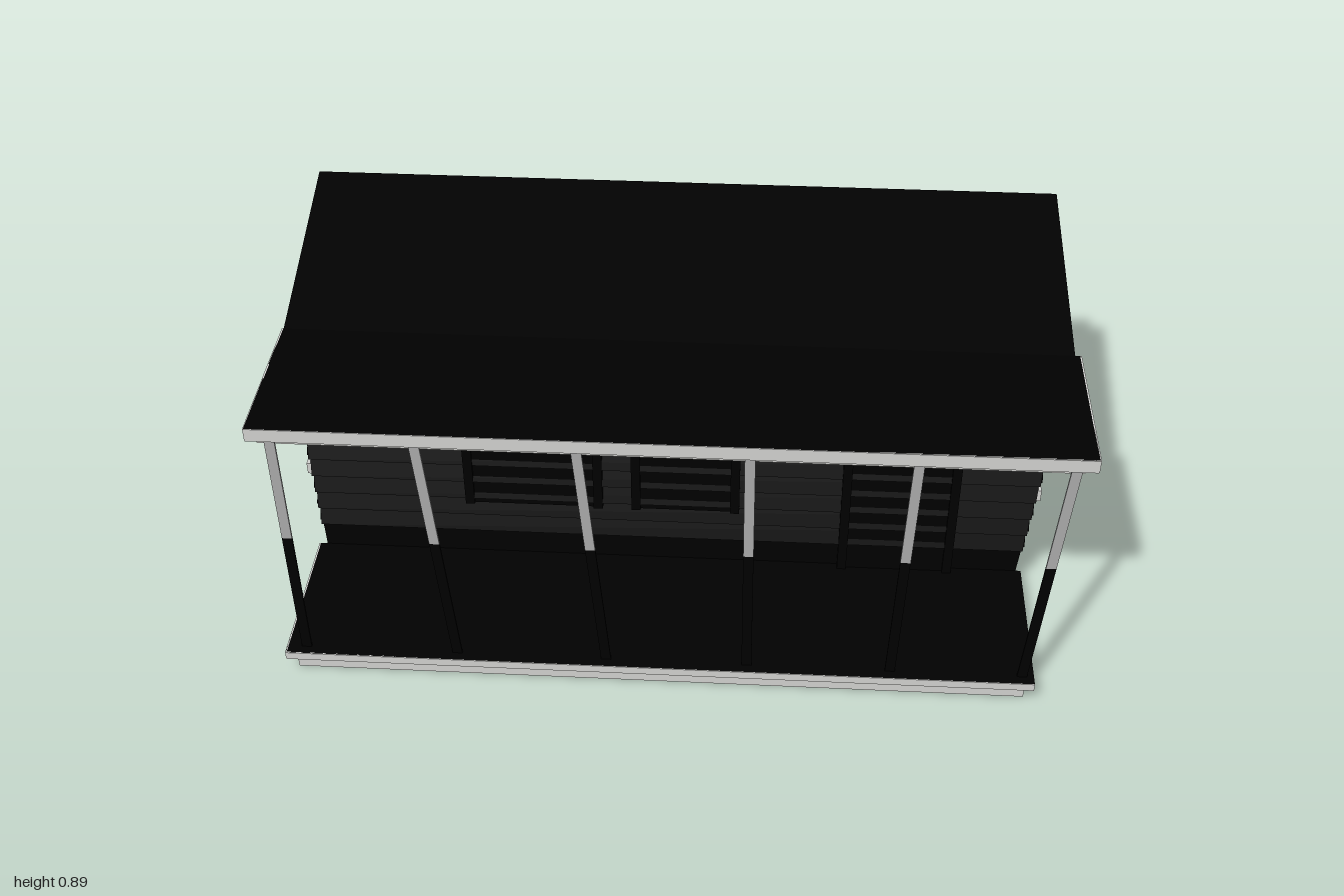
import * as THREE from 'three';

const mat = (name, color) => {
  const m = new THREE.MeshStandardMaterial({ color });
  m.name = name;
  return m;
};

// Side wall position: the walls lean outwards up to the eaves
const wallX = (side, y, z) => {
  const t = Math.min(y / 0.785, 1);
  return side > 0 ? 0.91 + 0.072 * t : -0.945 - t * (0.03 + 0.025 * (0.14 - z) / 0.7);
};

// Move every vertex by a rule and restore flat normals
function reshape(geo, rule) {
  const p = geo.attributes.position, v = new THREE.Vector3();
  for (let i = 0; i < p.count; i++) {
    v.fromBufferAttribute(p, i);
    rule(v);
    p.setXYZ(i, v.x, v.y, v.z);
  }
  geo.computeVertexNormals();
  return geo;
}

const shapeOf = pts => new THREE.Shape(pts.map(([a, b]) => new THREE.Vector2(a, b)));

// A [z, y] profile run along x, its ends set by left(y, z) and right(y, z)
function prism(profile, left, right) {
  const geo = new THREE.ExtrudeGeometry(shapeOf(profile.map(([z, y]) => [-z, y])), { depth: 1, bevelEnabled: false });
  geo.rotateY(Math.PI / 2);
  return reshape(geo, v => { v.x = v.x > 0.5 ? right(v.y, v.z) : left(v.y, v.z); });
}

export function createModel() {
  const model = new THREE.Group();
  model.name = 'porchHouse';
  const black = mat('black', 0x000000);
  const trim = mat('paleTrim', 0xd2d2d0);
  const grey = mat('postGrey', 0xaaaaaa);

  const add = (name, geo, material, parent = model) => {
    const m = new THREE.Mesh(geo, material);
    m.name = name;
    parent.add(m);
    return m;
  };
  const group = name => {
    const g = new THREE.Group();
    g.name = name;
    model.add(g);
    return g;
  };
  const box = (name, x0, x1, y0, y1, z0, z1, material, parent) =>
    add(name, new THREE.BoxGeometry(x1 - x0, y1 - y0, z1 - z0), material, parent)
      .position.set((x0 + x1) / 2, (y0 + y1) / 2, (z0 + z1) / 2);

  const leftWall = (y, z) => wallX(-1, y, z), rightWall = (y, z) => wallX(1, y, z);

  // House body with its lopsided gable roof
  add('houseBody', prism(
    [[0.14, 0], [0.14, 0.785], [-0.44, 0.895], [-0.52, 0.785], [-0.56, 0.785], [-0.56, 0]],
    leftWall, rightWall), black);

  // Overlapping boards on the front and side walls
  const boards = group('wallBoards');
  for (let i = 0; i < 10; i++) {
    const y = 0.155 + i * 0.056, h = 0.05;
    add('frontBoard', prism([[0.139, y], [0.158, y], [0.139, y + h]], leftWall, rightWall), black, boards);
    for (const s of [-1, 1]) {
      const geo = new THREE.ExtrudeGeometry(
        shapeOf([[-0.002 * s, y], [0.007 * s, y], [-0.002 * s, y + h]]), { depth: 0.69, bevelEnabled: false });
      geo.translate(0, 0, -0.55);
      add('sideBoard', reshape(geo, v => { v.x += wallX(s, v.y, v.z); }), black, boards);
    }
  }

  // Front windows and door
  for (const [name, x0, x1, y0, y1] of [
    ['window', -0.54, -0.2, 0.25, 0.56], ['window', -0.1, 0.16, 0.25, 0.56], ['door', 0.45, 0.73, 0.07, 0.58]]) {
    const g = group(name);
    box(name + 'Panel', x0, x1, y0, y1, 0.14, 0.152, black, g);
    for (const x of [x0, x1]) box('sideFrame', x - 0.012, x + 0.012, y0, y1, 0.14, 0.16, black, g);
    box('topFrame', x0 - 0.012, x1 + 0.012, y1 - 0.012, y1 + 0.012, 0.14, 0.16, black, g);
  }

  // Small pale blocks at the front corners
  for (const s of [-1, 1]) for (const [y0, y1] of [[0.32, 0.354], [0.664, 0.696]]) {
    const x = wallX(s, y0, 0.14) + s * 0.007;
    box('cornerBlock', x - 0.006, x + 0.006, y0, y1, 0.125, 0.144, trim);
  }

  // A stepped slab with two rims; each rim may carry pale edge strips
  function slab(name, rims, sides) {
    const g = group(name);
    const [a, b] = rims;
    const inLower = y => y < (a.y1 + b.y0) / 2;
    add(name + 'Core', prism(
      [[0.14, a.y0], [a.z, a.y0], [a.z, a.y1], [b.z, b.y0], [b.z, b.y1], [0.14, b.y1]],
      y => (inLower(y) ? a.x0 : b.x0), y => (inLower(y) ? a.x1 : b.x1)), black, g);
    const t = 0.002;
    for (const r of rims) {
      box('frontEdge', r.x0, r.x1, r.y0, r.y1, r.z - t, r.z + t, trim, g);
      for (const s of sides) {
        const x = s < 0 ? r.x0 : r.x1;
        box('sideEdge', x - t, x + t, r.y0, r.y1, 0.14, r.z, trim, g);
      }
    }
  }
  slab('deck', [
    { x0: -0.945, x1: 0.91, y0: 0, y1: 0.025, z: 0.533 },
    { x0: -0.968, x1: 0.93, y0: 0.048, y1: 0.07, z: 0.558 }], [-1]);
  slab('porchRoof', [
    { x0: -0.962, x1: 0.972, y0: 0.718, y1: 0.73, z: 0.51 },
    { x0: -0.978, x1: 0.996, y0: 0.75, y1: 0.785, z: 0.545 }], [-1, 1]);

  // Thin leaning posts, pale above and black below
  const posts = group('posts');
  const segment = (name, xa, ya, xb, yb, material) => {
    const geo = new THREE.BoxGeometry(0.025, 1, 0.006).toNonIndexed();
    add(name, reshape(geo, v => {
      v.x += v.y > 0 ? xb : xa;
      v.y = v.y > 0 ? yb : ya;
      v.z += 0.531 + 0.003 * v.y;
    }), material, posts);
  };
  for (const [top, mid] of [[-0.925, -0.922], [-0.585, -0.56], [-0.205, -0.18], [0.2, 0.203], [0.59, 0.58], [0.95, 0.927]]) {
    const foot = mid + (mid - top) * 1.2;
    segment('postTop', mid, 0.44, top, 0.75, grey);
    segment('postFoot', foot, 0.068, mid, 0.44, black);
  }
  return model;
}
